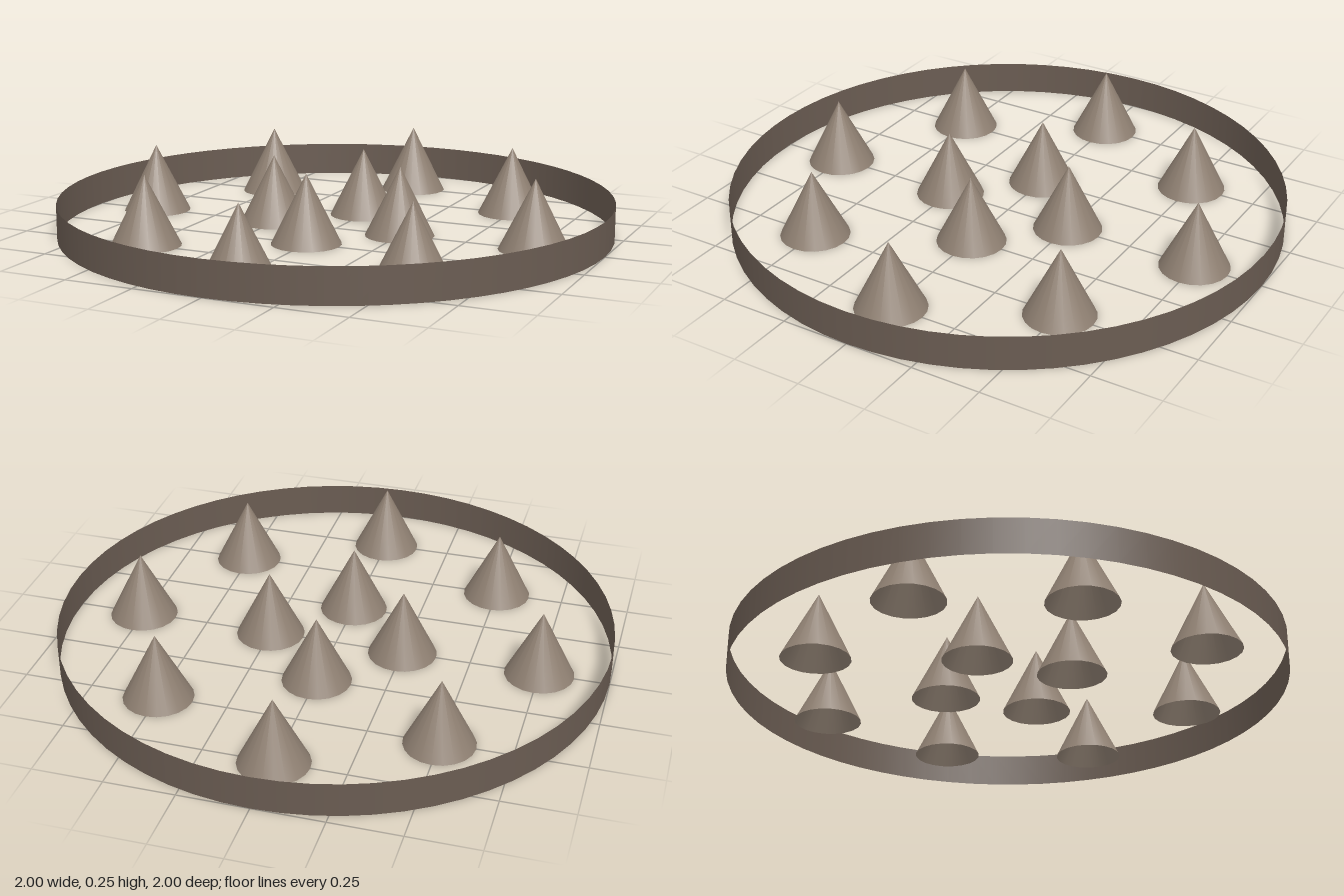
import * as THREE from 'three';

export function createModel() {
  const model = new THREE.Group();
  const ringBrown = new THREE.MeshStandardMaterial({ color: 0x6a5c52, side: THREE.DoubleSide });
  ringBrown.name = 'dark brown';
  const spikeBrown = new THREE.MeshStandardMaterial({ color: 0x8f8072, side: THREE.DoubleSide });
  spikeBrown.name = 'light brown';

  // Thin open band around the spikes
  const ring = new THREE.Mesh(new THREE.CylinderGeometry(1, 1, 0.125, 64, 1, true), ringBrown);
  ring.name = 'ring';
  ring.position.y = 0.0625;
  model.add(ring);

  // Hollow cones, open underneath
  const spikes = new THREE.Group();
  spikes.name = 'spikes';
  const cone = new THREE.ConeGeometry(0.125, 0.25, 20, 1, true);
  const addSpike = (x, z) => {
    const spike = new THREE.Mesh(cone, spikeBrown);
    spike.name = 'spike';
    spike.position.set(x, 0.125, z);
    spikes.add(spike);
  };
  for (const s of [-1, 1]) {
    // inner and outer spikes on both axes
    for (const r of [0.25, 0.75]) {
      addSpike(s * r, 0);
      addSpike(0, s * r);
    }
    // diagonal spikes
    addSpike(s * 0.5, 0.5);
    addSpike(s * 0.5, -0.5);
  }
  model.add(spikes);
  return model;
}
